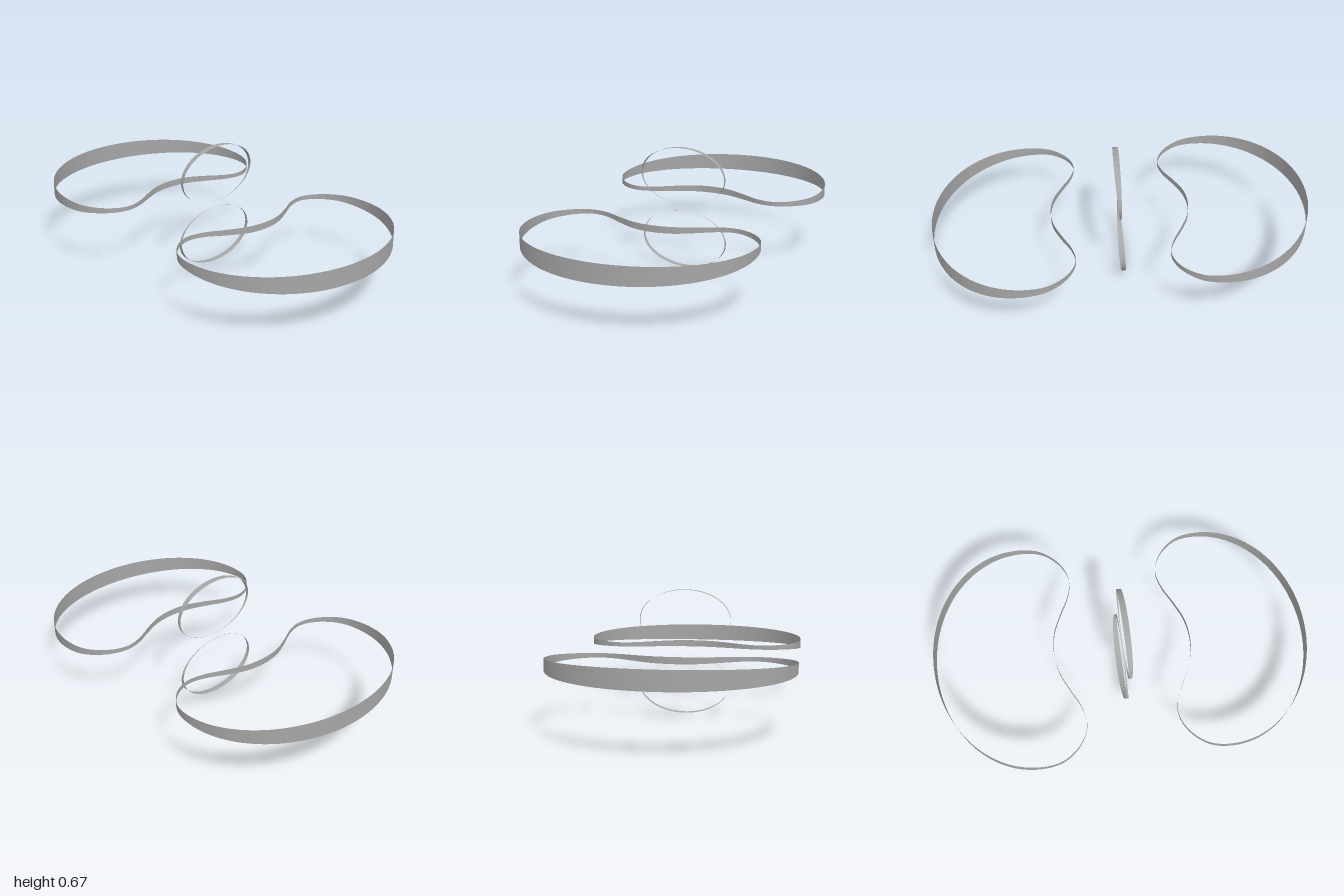
import * as THREE from 'three';

const grey = new THREE.MeshStandardMaterial({ color: 0xa6a6a6, side: THREE.DoubleSide });
grey.name = 'grey';

const CENTRE_Y = 0.333;
const TAPER = 0.098; // band width grows in proportion to distance from the centre

// Closed band between a planar curve and its sheared copy.
function band(points, shear, name) {
  const n = points.length;
  const pos = [], index = [];
  points.forEach((p) => {
    const q = shear(p);
    pos.push(p.x, p.y, p.z, q.x, q.y, q.z);
  });
  for (let i = 0; i < n; i++) {
    const a = 2 * i, b = 2 * ((i + 1) % n);
    index.push(a, b, a + 1, b, b + 1, a + 1);
  }
  const geo = new THREE.BufferGeometry();
  geo.setAttribute('position', new THREE.Float32BufferAttribute(pos, 3));
  geo.setIndex(index);
  geo.computeVertexNormals();
  const mesh = new THREE.Mesh(geo, grey);
  mesh.name = name;
  return mesh;
}

// Kidney outline in x and z, half of it listed and the rest mirrored.
function kidneyOutline(side) {
  const half = [
    [1, 0], [0.983, 0.16], [0.933, 0.308], [0.854, 0.435], [0.75, 0.533], [0.629, 0.595],
    [0.5, 0.616], [0.385, 0.597], [0.3, 0.535], [0.255, 0.465], [0.241, 0.4],
    [0.26, 0.315], [0.31, 0.215], [0.355, 0.11], [0.37, 0],
  ];
  const mirrored = half.slice(1, -1).reverse().map(([x, z]) => [x, -z]);
  const pts = [...half, ...mirrored].map(([x, z]) => new THREE.Vector3(side * x, 0, z));
  const curve = new THREE.CatmullRomCurve3(pts, true, 'centripetal');
  return curve.getSpacedPoints(240).slice(0, -1);
}

// Oval outline in y and z, just above or below the centre.
function ovalOutline(side) {
  return Array.from({ length: 128 }, (_, i) => {
    const t = (i / 128) * Math.PI * 2;
    return new THREE.Vector3(0, side * (0.175 + 0.158 * Math.cos(t)), 0.245 * Math.sin(t));
  });
}

export function createModel() {
  const group = new THREE.Group();
  group.name = 'ribbonLoops';
  for (const side of [1, -1]) {
    // wide horizontal loops, with upright walls
    group.add(band(kidneyOutline(side),
      (p) => new THREE.Vector3(p.x, -TAPER * p.x, p.z),
      side > 0 ? 'leftKidneyLoop' : 'rightKidneyLoop'));
    // small upright loops, with sideways walls
    group.add(band(ovalOutline(side),
      (p) => new THREE.Vector3(TAPER * p.y, p.y, p.z),
      side > 0 ? 'upperOvalLoop' : 'lowerOvalLoop'));
  }
  group.children.forEach((m) => { m.position.y = CENTRE_Y; });
  return group;
}
